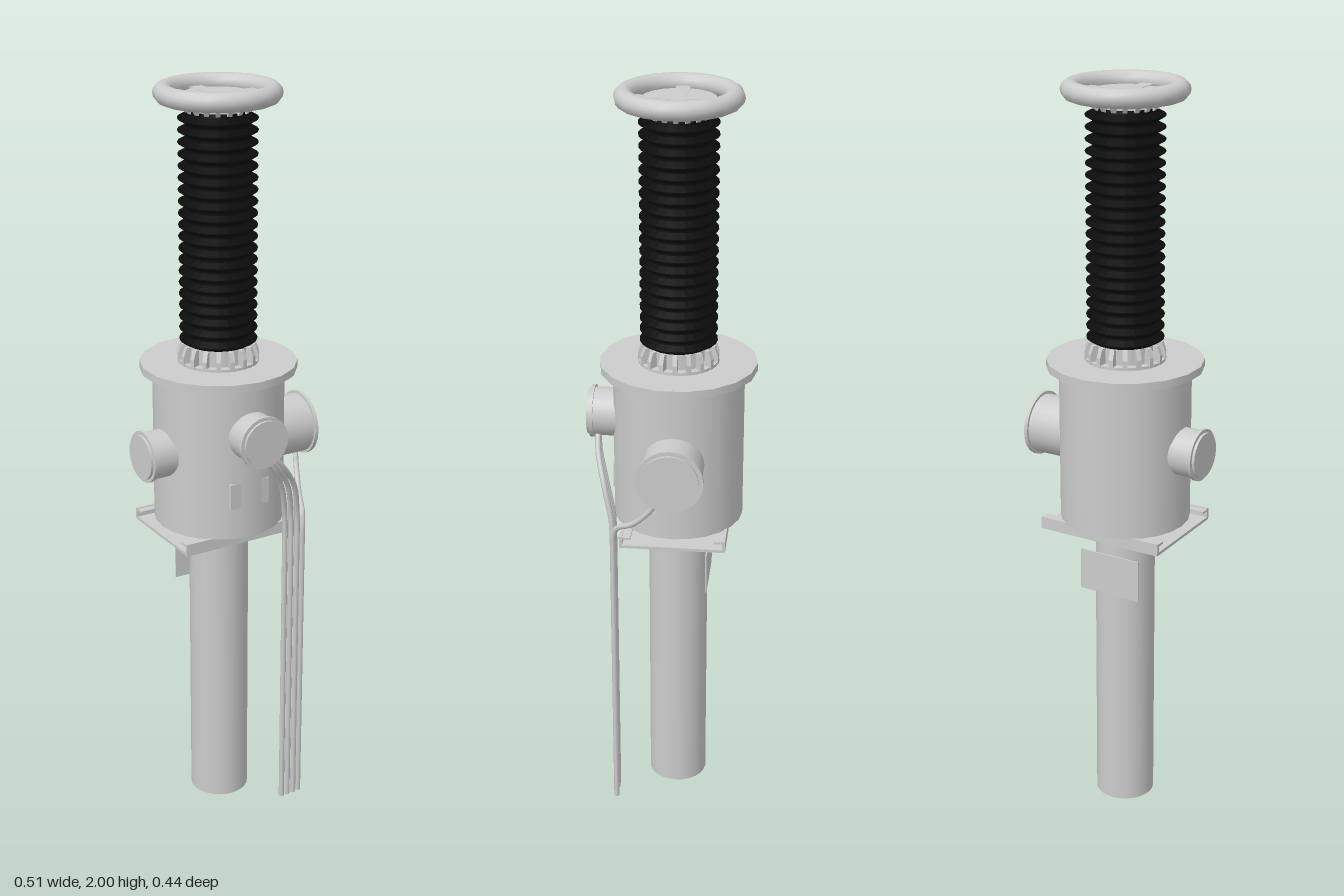
import * as THREE from 'three';

const CX = -0.017, CZ = -0.016; // main vertical axis
const SIDES = 18;

export function createModel() {
  const model = new THREE.Group();
  model.name = 'cableTermination';
  const grey = new THREE.MeshStandardMaterial({ color: 0xcccccc });
  const black = new THREE.MeshStandardMaterial({ color: 0x0b0b0b, flatShading: true });

  function add(parent, name, geometry, x = 0, y = 0, z = 0, material = grey) {
    const mesh = new THREE.Mesh(geometry, material);
    mesh.name = name;
    mesh.position.set(x, y, z);
    parent.add(mesh);
    return mesh;
  }
  // upright cylinder from y0 to y1
  const drum = (parent, name, r, y0, y1, sides = SIDES) =>
    add(parent, name, new THREE.CylinderGeometry(r, r, y1 - y0, sides), 0, (y0 + y1) / 2, 0);

  const column = new THREE.Group();
  column.name = 'column';
  column.position.set(CX, 0, CZ);
  model.add(column);

  // post, tank and lid
  drum(column, 'post', 0.08, 0, 0.82, 24);
  drum(column, 'tank', 0.173, 0.845, 1.262, 24);
  drum(column, 'tankLid', 0.206, 1.262, 1.283);

  // base plate with angle rails along both long edges
  add(column, 'basePlate', new THREE.BoxGeometry(0.356, 0.008, 0.28), 0, 0.818, 0);
  for (const s of [-1, 1]) {
    add(column, 'railWeb', new THREE.BoxGeometry(0.356, 0.026, 0.008), 0, 0.834, s * 0.136);
    add(column, 'railFlange', new THREE.BoxGeometry(0.356, 0.006, 0.03), 0, 0.842, s * 0.125);
  }

  // nameplates
  add(column, 'signPlate', new THREE.BoxGeometry(0.178, 0.115, 0.004), 0, 0.695, -0.083);
  add(column, 'tankPlate', new THREE.BoxGeometry(0.115, 0.07, 0.02), -0.005, 0.965, 0.159);

  // ribbed insulator
  const profile = [new THREE.Vector2(0, 1.325), new THREE.Vector2(0.08, 1.325)];
  const sheds = 20, pitch = 0.6 / sheds;
  for (let i = 0; i < sheds; i++) {
    const y = 1.33 + i * pitch;
    profile.push(new THREE.Vector2(0.081, y), new THREE.Vector2(0.101, y + pitch * 0.4),
      new THREE.Vector2(0.101, y + pitch * 0.5), new THREE.Vector2(0.081, y + pitch * 0.85));
  }
  profile.push(new THREE.Vector2(0.08, 1.935), new THREE.Vector2(0, 1.935));
  add(column, 'insulator', new THREE.LatheGeometry(profile, 24), 0, 0, 0, black);

  // collars with gussets at both ends of the insulator
  function collar(name, y, height, rCore, rOuter, flip) {
    const g = new THREE.Group();
    g.name = name;
    g.position.y = y;
    if (flip) g.rotation.x = Math.PI;
    column.add(g);
    drum(g, 'collarRing', rOuter, 0, height * 0.2);
    drum(g, 'collarCore', rCore, 0, height);
    const shape = new THREE.Shape([
      new THREE.Vector2(rCore - 0.01, 0), new THREE.Vector2(rOuter, 0),
      new THREE.Vector2(rOuter, height * 0.55), new THREE.Vector2(rOuter - 0.009, height),
      new THREE.Vector2(rCore - 0.01, height),
    ]);
    const gusset = new THREE.ExtrudeGeometry(shape, { depth: 0.012, bevelEnabled: false });
    gusset.translate(0, 0, -0.006);
    for (let i = 0; i < SIDES; i++)
      add(g, 'gusset', gusset).rotation.y = (i / SIDES) * Math.PI * 2;
  }
  collar('lowerCollar', 1.28, 0.052, 0.086, 0.106, false);
  collar('upperCollar', 1.96, 0.03, 0.076, 0.092, true);

  // corona ring on a four-armed top plate
  drum(column, 'topPlate', 0.094, 1.957, 1.972);
  for (let i = 0; i < 2; i++)
    add(column, 'ringArm', new THREE.BoxGeometry(0.25, 0.012, 0.036), 0, 1.967, 0)
      .rotation.y = i * Math.PI / 2;
  const ring = new THREE.TorusGeometry(0.137, 0.0245, 14, SIDES);
  ring.rotateX(Math.PI / 2);
  ring.rotateY(Math.PI / 2);
  add(column, 'coronaRing', ring, 0, 1.9755, 0);

  // side ports: pipe, flange and cover along local +z
  function port(name, x, y, z, angle, r, reach) {
    const g = new THREE.Group();
    g.name = name;
    g.position.set(x, y, z);
    g.rotation.y = angle;
    model.add(g);
    const disc = (part, radius, a, b) => {
      const geo = new THREE.CylinderGeometry(radius, radius, b - a, 24);
      geo.rotateX(Math.PI / 2);
      add(g, part, geo, 0, 0, (a + b) / 2);
    };
    disc('portPipe', r * 0.92, 0.1, reach - 0.012);
    disc('portFlange', r, reach - 0.017, reach - 0.007);
    disc('portCover', r * 0.87, reach - 0.012, reach);
  }
  port('frontPort', CX, 1.127, 0, 0, 0.07, 0.222);
  port('leftPort', 0, 1.057, -0.018, Math.PI / 2, 0.087, 0.252);
  port('rightPort', 0, 1.057, -0.013, -Math.PI / 2, 0.069, 0.254);

  // cables: bent lead, then straight drop to the ground
  function cable(lead, x, z) {
    const path = new THREE.CurvePath();
    const top = new THREE.Vector3(x, 0.83, z);
    path.add(new THREE.CatmullRomCurve3([...lead.map(p => new THREE.Vector3(...p)), top]));
    path.add(new THREE.LineCurve3(top, new THREE.Vector3(x, 0, z)));
    add(model, 'cable', new THREE.TubeGeometry(path, 60, 0.0075, 8));
    const end = new THREE.CircleGeometry(0.0075, 8);
    end.rotateX(Math.PI / 2);
    add(model, 'cableEnd', end, x, 0, z);
  }
  for (let i = 0; i < 3; i++) {
    const x = 0.093 + i * 0.019;
    cable([[-0.01 + i * 0.013, 1.08, 0.195], [0.025 + i * 0.014, 1.04, 0.19],
      [x - 0.026, 0.965, 0.168], [x - 0.004, 0.88, 0.148]], x, 0.145);
  }
  cable([[0.205, 0.985, 0.018], [0.198, 0.95, 0.035], [0.175, 0.895, 0.085],
    [0.155, 0.868, 0.132]], 0.15, 0.142);

  return model;
}
